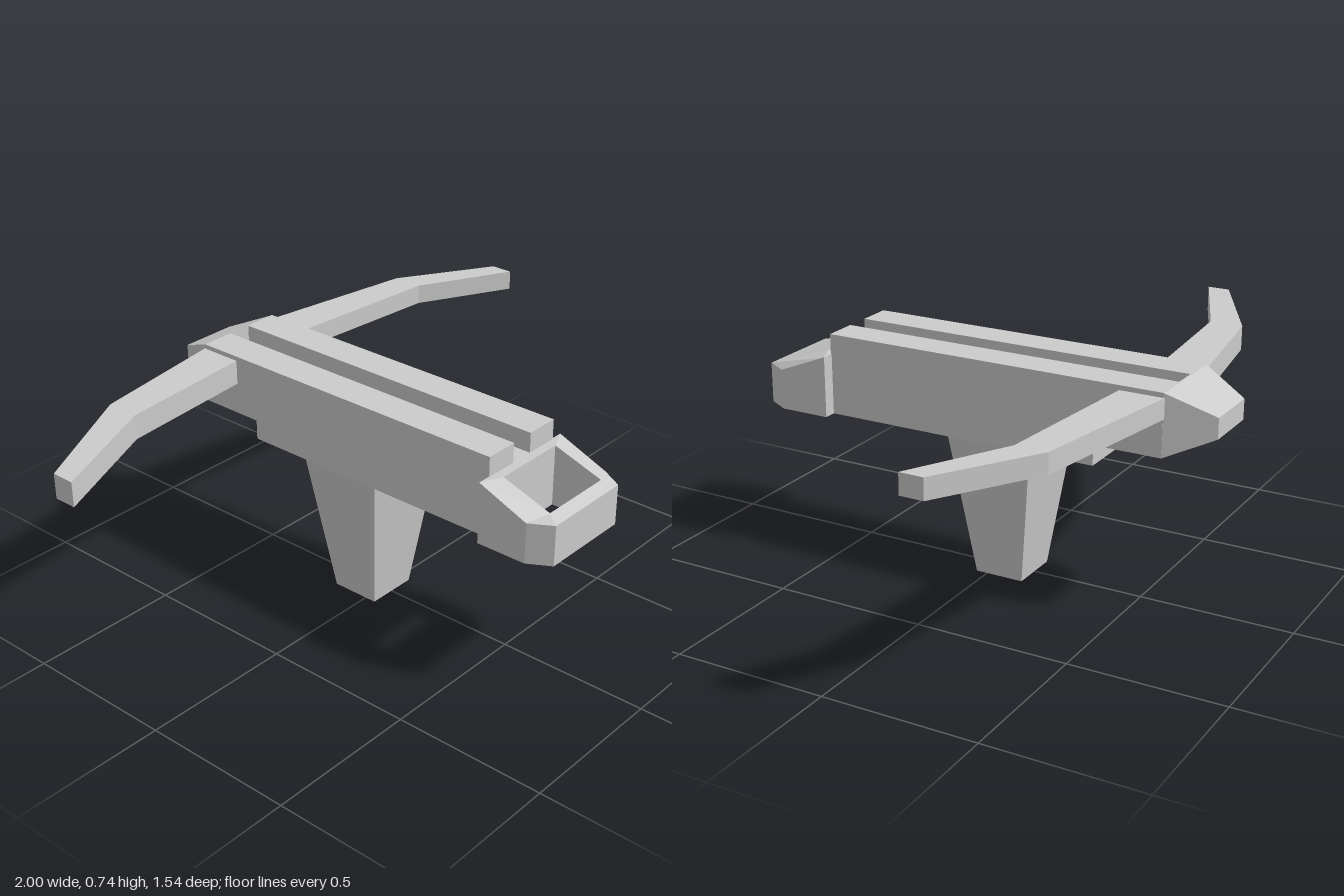
import * as THREE from 'three';

const material = new THREE.MeshStandardMaterial({ color: 0xcccccc, flatShading: true });

function addMesh(group, name, geometry) {
  geometry.computeVertexNormals();
  const mesh = new THREE.Mesh(geometry, material);
  mesh.name = name;
  group.add(mesh);
  return mesh;
}

const points = (list) => list.map(([a, b]) => new THREE.Vector2(a, b));

// Plan outline given as [x, z] pairs, raised from y0 to y1
function extrudePlan(outline, y0, y1, hole) {
  const flip = (list) => points(list.map(([x, z]) => [x, -z]));
  const shape = new THREE.Shape(flip(outline));
  if (hole) shape.holes.push(new THREE.Path(flip(hole)));
  const geometry = new THREE.ExtrudeGeometry(shape, { depth: y1 - y0, bevelEnabled: false });
  return geometry.rotateX(-Math.PI / 2).translate(0, y0, 0);
}

// Grooved stock section with its floor at y0, running from z0 to z1
function stockSection(y0, z0, z1) {
  const w = 0.153, g = 0.04, top = 0.735, floor = 0.67;
  const shape = new THREE.Shape(points([
    [-w, y0], [w, y0], [w, top], [g, top], [g, floor], [-g, floor], [-g, top], [-w, top],
  ]));
  return new THREE.ExtrudeGeometry(shape, { depth: z1 - z0, bevelEnabled: false }).translate(0, 0, z0);
}

// Box whose negative end along one axis is scaled about the centre line
function taperedBox(size, axis, scale) {
  const geometry = new THREE.BoxGeometry(...size);
  const p = geometry.attributes.position;
  const v = new THREE.Vector3();
  for (let i = 0; i < p.count; i++) {
    v.fromBufferAttribute(p, i);
    if (v[axis] < 0) v.multiply(scale);
    p.setXYZ(i, v.x, v.y, v.z);
  }
  return geometry;
}

export function createModel() {
  const model = new THREE.Group();
  model.name = 'crossbow';

  // Stock: deep rear length and a shallower length under the bow
  addMesh(model, 'stock', stockSection(0.47, -0.4, 0.53));
  addMesh(model, 'stockUnderBow', stockSection(0.535, -0.62, -0.4));

  // Tapered nose closing the groove
  const nose = taperedBox([0.306, 0.2, 0.15], 'z', new THREE.Vector3(0.63, 0.33, 1));
  addMesh(model, 'nose', nose).position.set(0, 0.635, -0.693);

  // Grip narrowing towards the ground
  const grip = taperedBox([0.306, 0.47, 0.286], 'y', new THREE.Vector3(0.56, 1, 0.57));
  addMesh(model, 'grip', grip).position.set(0, 0.235, -0.044);

  // Bow limbs, the left one slightly slimmer and bent further out
  addMesh(model, 'leftLimb', extrudePlan([
    [0.15, -0.48], [0.69, -0.433], [1, -0.27], [1, -0.345], [0.69, -0.535], [0.15, -0.623],
  ], 0.655, 0.72));
  addMesh(model, 'rightLimb', extrudePlan([
    [-0.15, -0.623], [-0.615, -0.55], [-1, -0.345], [-1, -0.27], [-0.615, -0.44], [-0.15, -0.48],
  ], 0.64, 0.72));

  // Open end frame with a sloping top; the inner rim sits a little higher
  const frame = extrudePlan(
    [[-0.195, 0.527], [-0.195, 0.695], [-0.153, 0.767], [0.153, 0.767], [0.195, 0.695], [0.195, 0.527]],
    0.47, 0.67,
    [[-0.125, 0.56], [0.125, 0.56], [0.125, 0.725], [-0.125, 0.725]],
  );
  const p = frame.attributes.position;
  for (let i = 0; i < p.count; i++) {
    if (p.getY(i) < 0.6 || p.getZ(i) < 0.6) continue;
    const inner = Math.abs(p.getX(i)) < 0.14;
    p.setY(i, inner ? 0.615 : 0.602);
  }
  addMesh(model, 'endFrame', frame);

  return model;
}
